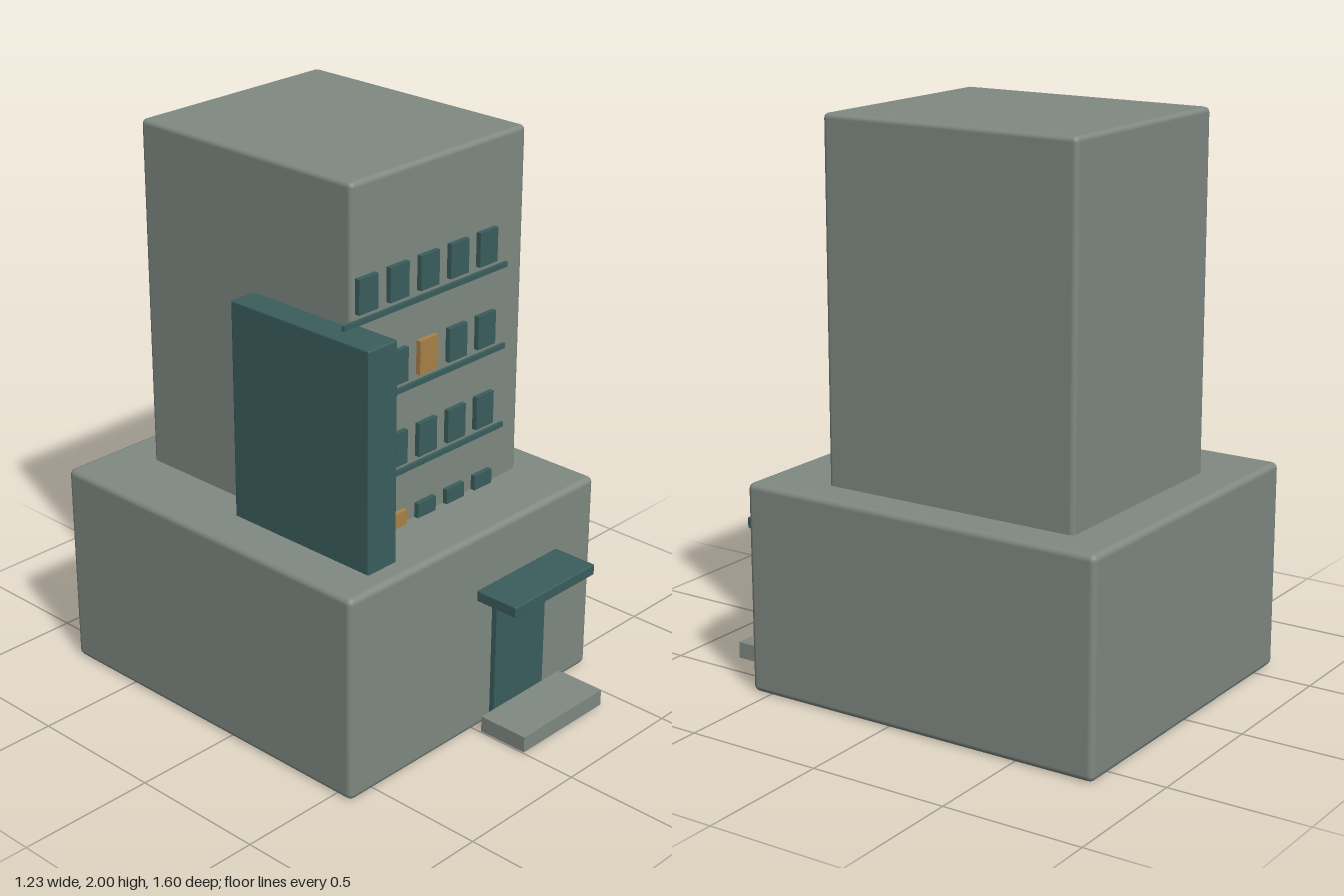
import * as THREE from 'three';
import { RoundedBoxGeometry } from 'three/addons/geometries/RoundedBoxGeometry.js';

const material = (name, color) => {
  const m = new THREE.MeshStandardMaterial({ color });
  m.name = name;
  return m;
};

export function createModel() {
  const concrete = material('concrete', 0x808982);
  const teal = material('dark teal', 0x3b5e5e);
  const amber = material('lit amber', 0xaa8248);
  const model = new THREE.Group();
  model.name = 'officeBuilding';

  // Box from its low and high corners, with bevelled edges when bevel > 0
  const box = (name, mat, [x0, y0, z0], [x1, y1, z1], bevel = 0, parent = model) => {
    const size = [x1 - x0, y1 - y0, z1 - z0];
    const geometry = bevel
      ? new RoundedBoxGeometry(...size, 2, bevel)
      : new THREE.BoxGeometry(...size);
    const mesh = new THREE.Mesh(geometry, mat);
    mesh.name = name;
    mesh.position.set((x0 + x1) / 2, (y0 + y1) / 2, (z0 + z1) / 2);
    parent.add(mesh);
    return mesh;
  };

  // Main masses
  box('podium', concrete, [-0.613, 0, -0.798], [0.613, 0.75, 0.572], 0.022);
  box('tower', concrete, [-0.352, 0.7, -0.638], [0.48, 2, 0.326], 0.018);
  box('sideFin', teal, [-0.452, 0.7, -0.116], [-0.321, 1.527, 0.496], 0.006);

  // Window grid on the tower front, with two lit windows
  const windows = new THREE.Group();
  windows.name = 'windows';
  model.add(windows);
  const lit = new Set(['0,1', '2,2']);
  for (let row = 0; row < 4; row++) {
    for (let col = 0; col < 5; col++) {
      const x = -0.291 + col * 0.144;
      const y = 0.744 + row * 0.2945;
      const on = lit.has(`${row},${col}`);
      box(on ? 'litWindow' : 'window', on ? amber : teal,
        [x - 0.044, y - 0.06, 0.322], [x + 0.044, y + 0.06, 0.344], 0, windows);
    }
  }

  // Thin ledges under the upper window rows
  for (let i = 0; i < 3; i++) {
    const y = 0.949 + i * 0.2945;
    box('ledge', teal, [-0.394, y - 0.009, 0.324], [0.391, y + 0.009, 0.337]);
  }

  // Entrance
  box('door', teal, [0.073, 0.008, 0.577], [0.333, 0.515, 0.597]);
  box('canopy', teal, [-0.004, 0.505, 0.573], [0.413, 0.545, 0.743], 0.005);
  box('step', concrete, [-0.004, 0.008, 0.608], [0.413, 0.067, 0.798]);

  return model;
}
